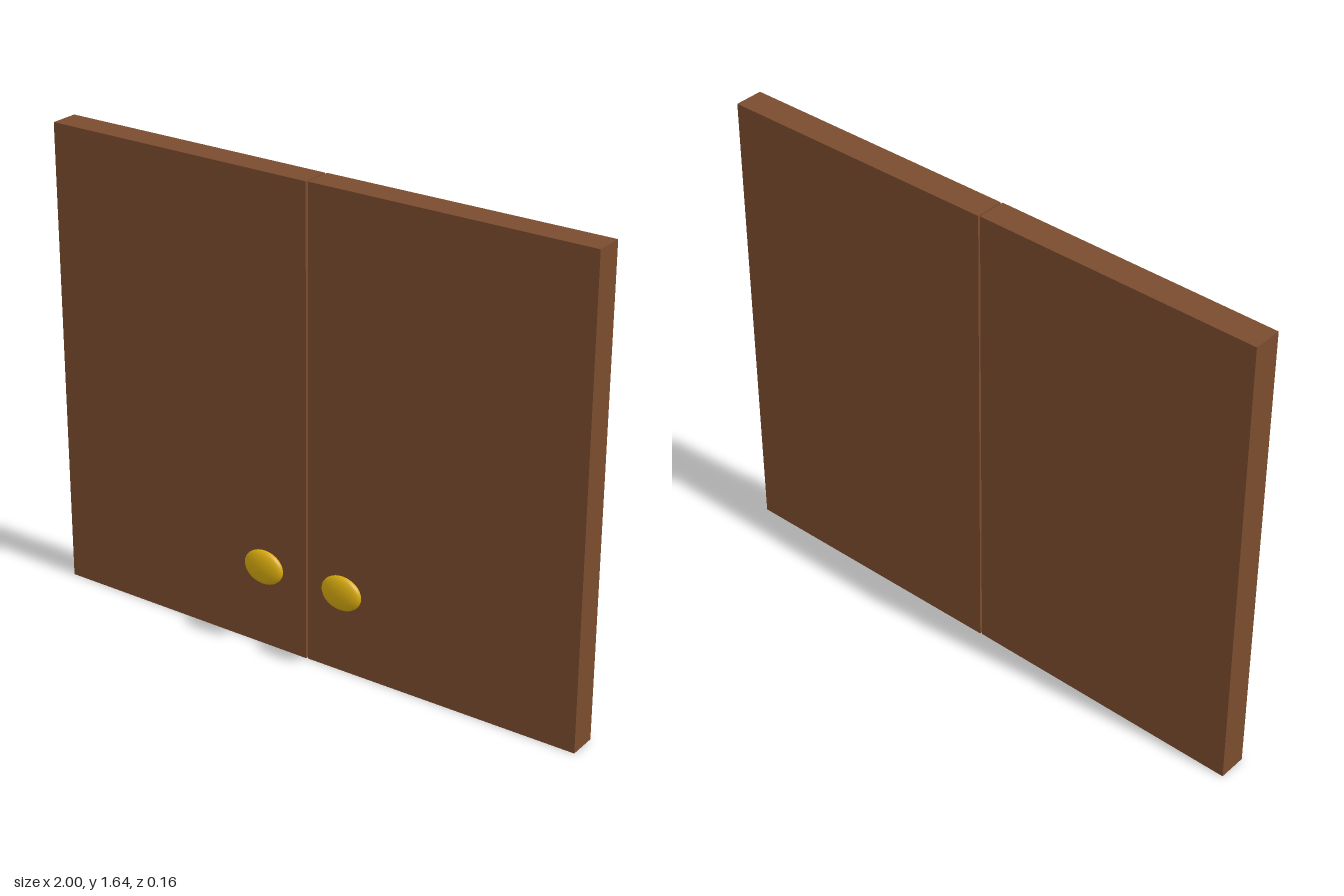
import * as THREE from 'three';

export function createModel() {
  const model = new THREE.Group();
  model.name = 'doubleDoor';

  const wood = new THREE.MeshStandardMaterial({ color: 0x7a4c2e });
  wood.name = 'brown wood';
  const brass = new THREE.MeshStandardMaterial({ color: 0xd6a90f });
  brass.name = 'yellow brass';

  const width = 0.997, height = 1.64, depth = 0.1, gap = 0.006;
  const panelGeometry = new THREE.BoxGeometry(width, height, depth);
  const knobGeometry = new THREE.SphereGeometry(1, 32, 16);

  for (const [side, sign] of [['left', 1], ['right', -1]]) {
    // Door leaf, very slightly ajar towards the front at the middle
    const panel = new THREE.Mesh(panelGeometry, wood);
    panel.name = side + 'Door';
    panel.position.set(sign * (width + gap) / 2, height / 2, sign > 0 ? -0.027 : -0.025);
    panel.rotation.y = sign * 0.004;

    // Flattened oval knob in front of the leaf
    const knob = new THREE.Mesh(knobGeometry, brass);
    knob.name = side + 'Knob';
    knob.scale.set(0.075, 0.06, 0.025);
    knob.position.set(sign * 0.153, 0.302, 0.053);

    model.add(panel, knob);
  }

  return model;
}
